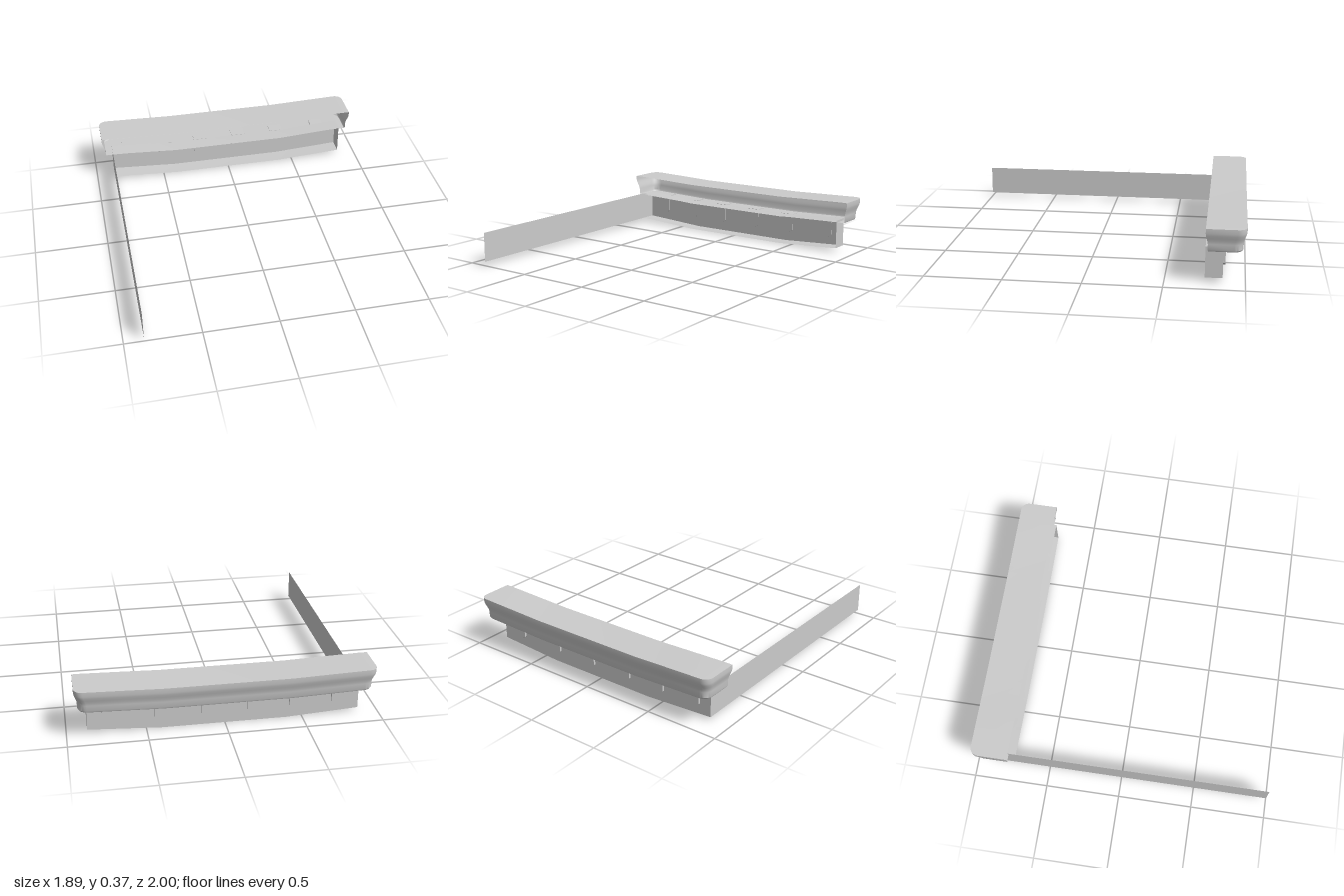
import * as THREE from 'three';
import { toCreasedNormals } from 'three/addons/utils/BufferGeometryUtils.js';

const FRONT = -0.75;
const material = new THREE.MeshStandardMaterial({ color: 0xcccccc, side: THREE.DoubleSide });

// How far along the rise from the flat middle to the ends (0 to 1)
const rise = x => Math.min(1, Math.max(0, (Math.abs(x) - 0.4) / 0.47));

// Plan outline, open at the front: left end, back, right end
function planPath(halfWidth, back, radius, inset) {
  const w = halfWidth - inset, b = back + inset, front = FRONT - inset * 0.7;
  const half = [[w, front]];
  const steps = radius ? 6 : 0;
  for (let i = 0; i <= steps; i++) {
    const a = steps ? (i / steps) * Math.PI / 2 : 0;
    half.push([w - radius * (1 - Math.cos(a)), b + radius * (1 - Math.sin(a))]);
  }
  half.push([0.64, b], [0.4, b]);
  const left = half.map(([x, z]) => [-x, z]);
  return { front, points: [...left, ...half.reverse()] };
}

// Sweep a profile of [inset, y] round the plan, closing top and bottom
function moulding(name, { halfWidth, back, radius, sag, profile }) {
  const rows = profile.map(([inset, y]) => {
    const { front, points } = planPath(halfWidth, back, radius, inset);
    const at = (x, z) => [x, y - sag * (1 - rise(x)), z];
    return { wall: points.map(([x, z]) => at(x, z)), lip: points.map(([x]) => at(x, front)) };
  });
  const grid = [rows[0].lip, ...rows.map(r => r.wall), rows[rows.length - 1].lip];
  const n = grid[0].length, index = [];
  for (let i = 0; i < grid.length - 1; i++) {
    for (let j = 0; j < n - 1; j++) {
      const a = i * n + j, b = a + 1, c = a + n, d = c + 1;
      index.push(a, b, c, b, d, c);
    }
  }
  const geometry = new THREE.BufferGeometry();
  geometry.setAttribute('position', new THREE.Float32BufferAttribute(grid.flat(2), 3));
  geometry.setIndex(index);
  const mesh = new THREE.Mesh(toCreasedNormals(geometry, 0.6), material);
  mesh.name = name;
  return mesh;
}

// Flat bracket: a plate on the wall with a chamfered foot, and a short arm under the cap
function bracket(x) {
  const group = new THREE.Group();
  group.name = 'bracket';
  const outline = new THREE.Shape([
    [-0.05, 0.2], [-0.05, 0.085], [-0.025, 0.065], [0.025, 0.065], [0.05, 0.085], [0.05, 0.2],
  ].map(([px, py]) => new THREE.Vector2(px, py)));
  const plate = new THREE.Mesh(
    new THREE.ExtrudeGeometry(outline, { depth: 0.018, bevelEnabled: false }), material);
  plate.name = 'bracketPlate';
  plate.position.z = -0.874;
  const arm = new THREE.Mesh(new THREE.BoxGeometry(0.1, 0.014, 0.08), material);
  arm.name = 'bracketArm';
  arm.position.set(0, 0.197, -0.9);
  group.add(plate, arm);
  group.position.set(x, 0.015 * rise(x), 0);
  return group;
}

export function createModel() {
  const model = new THREE.Group();
  model.name = 'corniceWithSidePanel';

  // Moulded cap with rounded back corners
  model.add(moulding('corniceCap', {
    halfWidth: 0.945, back: -1, radius: 0.055, sag: 0.015,
    profile: [[0, 0.365], [0, 0.335], [0.004, 0.318], [0.01, 0.3], [0.016, 0.282],
      [0.02, 0.262], [0.02, 0.225], [0.025, 0.215]],
  }));

  // Plain beam under the cap
  model.add(moulding('beam', {
    halfWidth: 0.87, back: -0.86, radius: 0, sag: 0.028,
    profile: [[0, 0.23], [0, 0.028]],
  }));

  // Row of brackets along the back
  for (const x of [-0.74, -0.465, -0.195, 0.1, 0.4, 0.725]) model.add(bracket(x));

  // Thin side panel running forward from one end
  const panel = new THREE.Mesh(new THREE.PlaneGeometry(1.86, 0.202), material);
  panel.name = 'sidePanel';
  panel.rotation.y = -Math.PI / 2;
  panel.position.set(-0.87, 0.129, 0.07);
  model.add(panel);

  return model;
}
